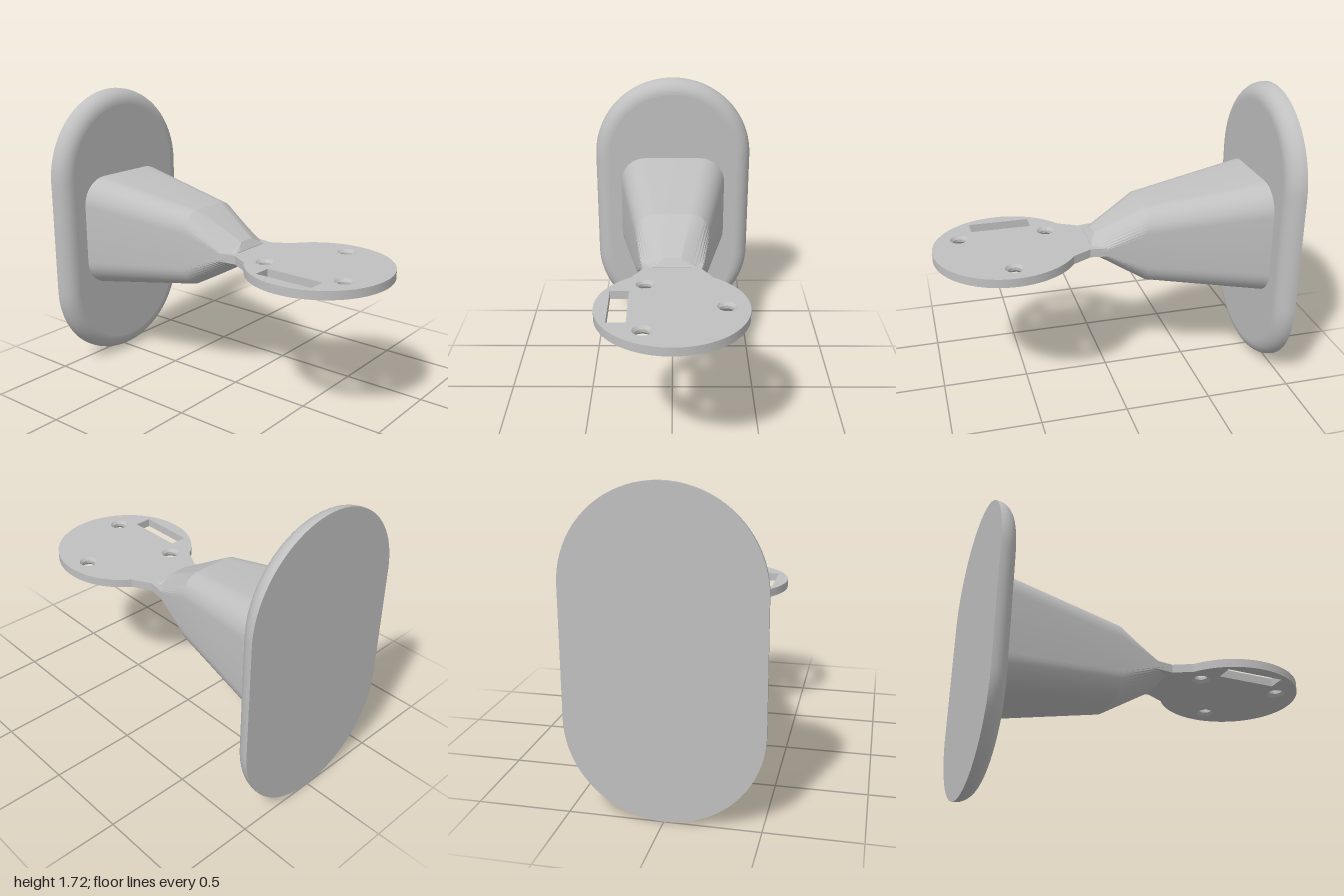
import * as THREE from 'three';
import { mergeGeometries, toCreasedNormals } from 'three/addons/utils/BufferGeometryUtils.js';

const CENTRE_Y = 0.862;

// Closed outline with four swept corners; power 1 = round, 2 = straight chamfer
function ring({ z, hw, hh, rx, ry, power = 1 }, steps) {
  const points = [];
  const signs = [[1, 1], [-1, 1], [-1, -1], [1, -1]];
  signs.forEach(([sx, sy], q) => {
    for (let i = 0; i <= steps; i++) {
      const a = ((q % 2 ? steps - i : i) / steps) * Math.PI / 2;
      const x = hw - rx + rx * Math.pow(Math.max(0, Math.cos(a)), power);
      const y = hh - ry + ry * Math.pow(Math.max(0, Math.sin(a)), power);
      points.push([sx * x, sy * y, z]);
    }
  });
  return points;
}

function fromTriangles(positions, crease) {
  const g = new THREE.BufferGeometry();
  g.setAttribute('position', new THREE.Float32BufferAttribute(positions.flat(), 3));
  g.computeVertexNormals();
  return toCreasedNormals(g, crease);
}

// Skin through sections from back to front, with flat caps
function loft(sections, steps, crease) {
  const rings = sections.map((s) => ring(s, steps));
  const n = rings[0].length;
  const side = [], caps = [];
  for (let i = 0; i < rings.length - 1; i++) {
    for (let j = 0; j < n; j++) {
      const k = (j + 1) % n;
      const a = rings[i][j], b = rings[i][k], c = rings[i + 1][k], d = rings[i + 1][j];
      side.push(a, b, c, a, c, d);
    }
  }
  const back = rings[0], front = rings[rings.length - 1];
  for (let j = 1; j < n - 1; j++) {
    caps.push(front[0], front[j], front[j + 1], back[0], back[j + 1], back[j]);
  }
  return mergeGeometries([fromTriangles(side, crease), fromTriangles(caps, 0.1)]);
}

export function createModel() {
  const model = new THREE.Group();
  const grey = new THREE.MeshStandardMaterial({ color: 0xc0c0c0 });
  grey.name = 'grey';
  const add = (name, geometry, x, y, z) => {
    const mesh = new THREE.Mesh(geometry, grey);
    mesh.name = name;
    mesh.position.set(x, y, z);
    model.add(mesh);
  };

  // Wall plate: upright stadium with a rounded front edge
  const fillet = 0.09;
  const plateSections = [{ z: -1, hw: 0.515, hh: 0.86, rx: 0.515, ry: 0.515 }];
  for (let i = 0; i <= 10; i++) {
    const a = (i / 10) * Math.PI / 2;
    const inset = fillet * (1 - Math.cos(a));
    const r = 0.515 - inset;
    plateSections.push({ z: -0.99 + fillet * Math.sin(a), hw: r, hh: 0.86 - inset, rx: r, ry: r });
  }
  add('wallPlate', loft(plateSections, 20, 0.5), 0, 0.86, 0);

  // Arm: tapering rounded block that flattens to a bevelled tip
  add('arm', loft([
    { z: -0.92, hw: 0.348, hh: 0.346, rx: 0.165, ry: 0.165 },
    { z: -0.2, hw: 0.227, hh: 0.228, rx: 0.125, ry: 0.125 },
    { z: 0.08, hw: 0.178, hh: 0.07, rx: 0.128, ry: 0.068, power: 1.9 },
    { z: 0.112, hw: 0.172, hh: 0.028, rx: 0.075, ry: 0.012, power: 1.5 },
  ], 10, 0.3), 0, CENTRE_Y, 0);

  // Mounting disc with neck, slot and screw holes (drawn as x, z)
  const thickness = 0.05;
  const discZ = 0.585, discR = 0.415;
  const start = Math.atan2(-0.345, 0.23);
  const outline = new THREE.Shape();
  outline.moveTo(0.2, -0.07);
  outline.lineTo(0.17, 0.13);
  outline.absarc(0, discZ, discR, start, Math.PI - start, false);
  outline.lineTo(-0.17, 0.13);
  outline.lineTo(-0.2, -0.07);
  outline.closePath();

  const slot = new THREE.Path();
  slot.moveTo(-0.338, 0.405);
  slot.lineTo(-0.338, 0.755);
  slot.lineTo(-0.234, 0.755);
  slot.lineTo(-0.234, 0.405);
  slot.closePath();
  outline.holes.push(slot);

  const screws = [[-0.148, 0.325], [-0.148, 0.833], [0.29, 0.58]];
  for (const [x, z] of screws) {
    outline.holes.push(new THREE.Path().absarc(x, z, 0.053, 0, Math.PI * 2, true));
  }
  const disc = new THREE.ExtrudeGeometry(outline, { depth: thickness, bevelEnabled: false, curveSegments: 48 });
  disc.rotateX(Math.PI / 2);
  disc.translate(0, thickness / 2, 0);
  add('mountingDisc', toCreasedNormals(disc, 0.4), 0, CENTRE_Y, 0);

  // Countersunk hole walls, narrowing to a waist
  const wall = [[0.053, 0.025], [0.038, 0.008], [0.038, -0.008], [0.053, -0.025]];
  const countersink = toCreasedNormals(
    new THREE.LatheGeometry(wall.map(([r, y]) => new THREE.Vector2(r, y)), 48), 0.4);
  screws.forEach(([x, z]) => add('screwHole', countersink, x, CENTRE_Y, z));

  return model;
}
